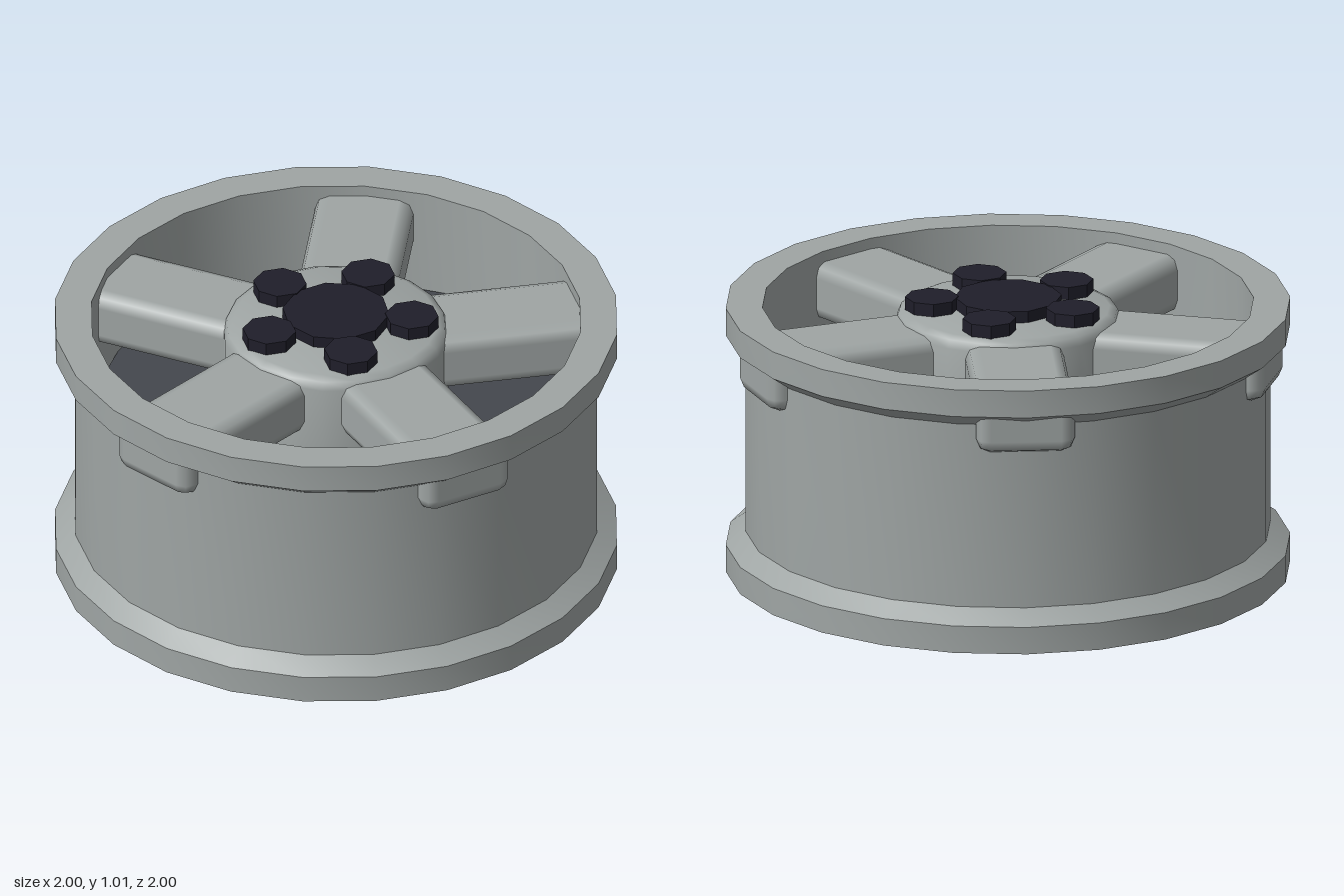
import * as THREE from 'three';
import { toCreasedNormals } from 'three/addons/utils/BufferGeometryUtils.js';
import { RoundedBoxGeometry } from 'three/addons/geometries/RoundedBoxGeometry.js';

const material = (name, color) => {
  const m = new THREE.MeshStandardMaterial({ color });
  m.name = name;
  return m;
};

const add = (parent, name, geometry, mat, x = 0, y = 0, z = 0) => {
  const mesh = new THREE.Mesh(geometry, mat);
  mesh.name = name;
  mesh.position.set(x, y, z);
  parent.add(mesh);
  return mesh;
};

// Turned part from [radius, height] pairs, running up the outside
const turned = (profile, sides, crease) =>
  toCreasedNormals(
    new THREE.LatheGeometry(profile.map(([r, y]) => new THREE.Vector2(r, y)), sides),
    crease
  );

export function createModel() {
  const wheel = new THREE.Group();
  wheel.name = 'wheel';
  const metal = material('grey metal', 0x9fa5a4);
  const darkMetal = material('dark grey metal', 0x44474d);
  const black = material('near black', 0x1f1e2a);

  // Barrel with a lip at each end, open through the middle
  add(wheel, 'rim', turned([
    [0.87, 0], [1, 0], [1, 0.1], [0.93, 0.15], [0.93, 0.83],
    [1, 0.88], [1, 0.98], [0.87, 0.98], [0.87, 0],
  ], 24, 0.5), metal);

  // Disc closing the barrel behind the spokes
  add(wheel, 'backDisc', new THREE.CylinderGeometry(0.87, 0.87, 0.04, 16), darkMetal, 0, 0.57, 0);

  // Hub with a softened top edge
  add(wheel, 'hub', turned([
    [0, 0.57], [0.4, 0.57], [0.4, 0.92], [0.388, 0.95], [0.36, 0.963], [0, 0.963],
  ], 20, 0.9), metal);

  // Five spokes, the first pointing to the back, poking through the barrel
  const spokeShape = new RoundedBoxGeometry(0.35, 0.21, 0.67, 1, 0.05);
  for (let i = 0; i < 5; i++) {
    const spoke = new THREE.Group();
    spoke.name = 'spoke' + (i + 1);
    spoke.rotation.y = (i * Math.PI * 2) / 5;
    add(spoke, 'spokeArm', spokeShape, metal, 0, 0.835, -0.635);
    wheel.add(spoke);
  }

  // Centre cap and ring of five lug nuts
  const cap = new THREE.CylinderGeometry(0.19, 0.19, 0.05, 10);
  cap.rotateY(Math.PI / 2);
  add(wheel, 'centreCap', toCreasedNormals(cap, 0.3), black, 0, 0.98, 0);
  const nut = toCreasedNormals(new THREE.CylinderGeometry(0.095, 0.095, 0.05, 8), 0.3);
  for (let i = 0; i < 5; i++) {
    const a = (i * Math.PI * 2) / 5;
    add(wheel, 'lugNut' + (i + 1), nut, black, 0.27 * Math.cos(a), 0.984, 0.27 * Math.sin(a));
  }

  return wheel;
}
